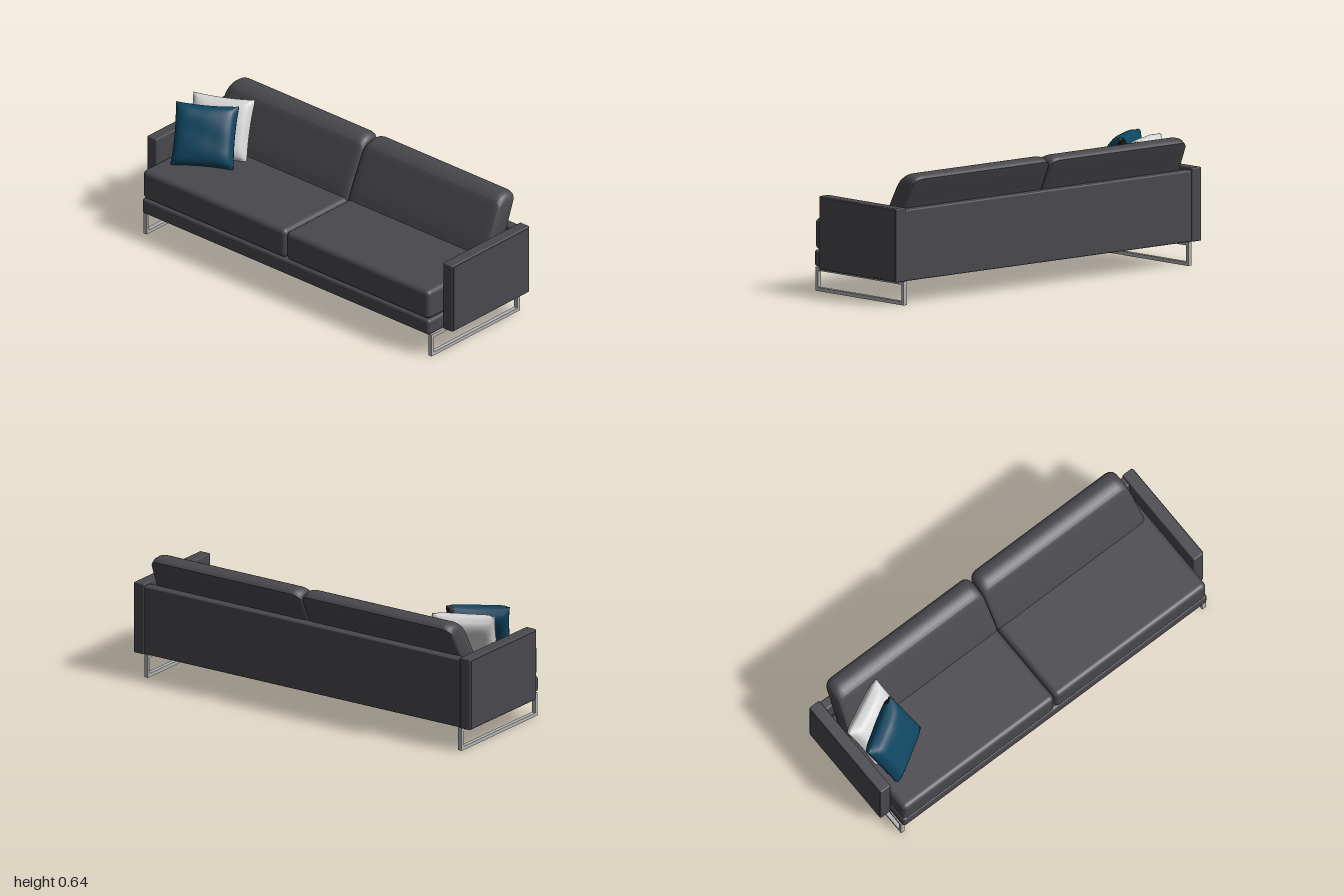
import * as THREE from 'three';
import { RoundedBoxGeometry } from 'three/addons/geometries/RoundedBoxGeometry.js';
import { mergeVertices, toCreasedNormals } from 'three/addons/utils/BufferGeometryUtils.js';

function material(name, color) {
  const m = new THREE.MeshStandardMaterial({ color });
  m.name = name;
  return m;
}

// Rounded block given by its min and max corners
function block(name, mat, [x0, y0, z0], [x1, y1, z1], radius) {
  const geo = new RoundedBoxGeometry(x1 - x0, y1 - y0, z1 - z0, 5, radius);
  const mesh = new THREE.Mesh(geo, mat);
  mesh.position.set((x0 + x1) / 2, (y0 + y1) / 2, (z0 + z1) / 2);
  mesh.name = name;
  return mesh;
}

// Leaning cushion: side profile swept along x, with rounded ends
function backCushionGeometry(side) {
  const profile = new THREE.Shape();
  profile.moveTo(0.10, 0.345);
  profile.splineThru([
    [0.125, 0.41], [0.158, 0.48], [0.212, 0.59], [0.235, 0.618],
    [0.265, 0.632], [0.295, 0.635], [0.325, 0.628], [0.342, 0.613],
  ].map(p => new THREE.Vector2(...p)));
  profile.splineThru([[0.325, 0.575], [0.28, 0.48], [0.235, 0.38], [0.22, 0.345]]
    .map(p => new THREE.Vector2(...p)));
  profile.closePath();
  const geo = new THREE.ExtrudeGeometry(profile, {
    depth: 2, steps: 28, bevelEnabled: false, curveSegments: 24,
  });
  geo.translate(0, 0, -1).rotateY(Math.PI / 2);
  const p = geo.attributes.position;
  const half = 0.453, r = 0.045;
  for (let i = 0; i < p.count; i++) {
    const u = Math.sin(p.getX(i) * Math.PI / 2);
    const t = Math.min(1, (1 - Math.abs(u)) * half / r);
    const s = 0.8 + 0.2 * Math.sqrt(1 - (1 - t) ** 2);
    const y = p.getY(i), z = p.getZ(i);
    const axis = -0.16 - (y - 0.345) * 0.46;
    const newY = 0.345 + (y - 0.345) * (0.3 + 0.7 * s);
    const taper = u * side > 0 ? 0.018 * Math.max(0, (newY - 0.36) / 0.27) * u : 0;
    p.setXYZ(i, side * 0.455 + u * half - taper, newY,
      axis + (z - axis) * s + (y - newY) * 0.46);
  }
  return toCreasedNormals(geo, 0.7);
}

// Square pillow: full in the middle, pinched at the rim, with slightly hollow edges
function pillowGeometry(size, thickness) {
  const box = new THREE.BoxGeometry(2, 2, 2, 24, 24, 4);
  box.deleteAttribute('normal');
  box.deleteAttribute('uv');
  const geo = mergeVertices(box);
  const p = geo.attributes.position;
  for (let i = 0; i < p.count; i++) {
    const u = p.getX(i), v = p.getY(i), w = p.getZ(i);
    const full = Math.sqrt((1 - u ** 4) * (1 - v ** 4));
    const wave = 1 + 0.04 * Math.sin(5 * u + 3 * v) * Math.sin(4 * v - 2 * u);
    p.setXYZ(i,
      u * size / 2 * (1 - 0.05 * (1 - v * v) * u * u),
      v * size / 2 * (1 - 0.05 * (1 - u * u) * v * v),
      w * thickness / 2 * (0.12 + 0.88 * full * wave));
  }
  geo.computeVertexNormals();
  return geo;
}

// Sort triangles into two material groups by a test on their centre
function splitFaces(geo, test) {
  const p = geo.attributes.position, lists = [[], []];
  for (let i = 0; i < geo.index.count; i += 3) {
    const tri = [0, 1, 2].map(k => geo.index.getX(i + k));
    const c = new THREE.Vector3();
    tri.forEach(k => c.add(new THREE.Vector3().fromBufferAttribute(p, k)));
    lists[test(c.divideScalar(3)) ? 1 : 0].push(...tri);
  }
  geo.setIndex([...lists[0], ...lists[1]]);
  geo.clearGroups();
  geo.addGroup(0, lists[0].length, 0);
  geo.addGroup(lists[0].length, lists[1].length, 1);
  return geo;
}

function pillow(name, geo, mat, position, turn, lean) {
  const mesh = new THREE.Mesh(geo, mat);
  mesh.name = name;
  mesh.position.set(...position);
  mesh.rotation.set(-lean, turn, 0, 'YXZ');
  return mesh;
}

// Rectangular sled leg with an open middle
function legGeometry() {
  const rect = (Type, x0, y0, x1, y1) => new Type([
    [x0, y0], [x1, y0], [x1, y1], [x0, y1],
  ].map(q => new THREE.Vector2(...q)));
  const shape = rect(THREE.Shape, -0.325, 0, 0.312, 0.118);
  shape.holes.push(rect(THREE.Path, -0.308, 0.018, 0.295, 0.1));
  const geo = new THREE.ExtrudeGeometry(shape, { depth: 0.022, bevelEnabled: false });
  return geo.translate(0, 0, -0.011).rotateY(Math.PI / 2);
}

export function createModel() {
  const sofa = new THREE.Group();
  sofa.name = 'sofa';
  const fabric = material('charcoal fabric', 0x49484d);
  const metal = material('brushed metal', 0xb2b2b2);
  const teal = material('teal cloth', 0x0f4560);
  const white = material('white cloth', 0xd6d6d6);
  const black = material('black cloth', 0x0c0c0c);

  // Body
  sofa.add(block('base', fabric, [-0.938, 0.118, -0.30], [0.938, 0.2, 0.343], 0.016));
  sofa.add(block('backPanel', fabric, [-0.94, 0.118, -0.317], [0.94, 0.468, -0.265], 0.008));

  // Parts on both sides
  for (const side of [-1, 1]) {
    const label = side > 0 ? 'left' : 'right';
    const span = (a, b) => [Math.min(side * a, side * b), Math.max(side * a, side * b)];

    const [a0, a1] = span(0.936, 0.997);
    sofa.add(block(label + 'Arm', fabric, [a0, 0.118, -0.322], [a1, 0.48, 0.238], 0.006));
    const [p0, p1] = span(0.99, 1.0);
    sofa.add(block(label + 'ArmPanel', fabric, [p0, 0.125, -0.315], [p1, 0.473, 0.231], 0.002));

    const [s0, s1] = span(0.002, 0.936);
    sofa.add(block(label + 'SeatCushion', fabric, [s0, 0.2, -0.265], [s1, 0.356, 0.343], 0.026));

    const back = new THREE.Mesh(backCushionGeometry(side), fabric);
    back.name = label + 'BackCushion';
    sofa.add(back);

    const leg = new THREE.Mesh(legGeometry(), metal);
    leg.name = label + 'Leg';
    leg.position.x = side * 0.93;
    sofa.add(leg);
  }

  // Loose pillows in the right corner, one with a dark band on its end
  const banded = splitFaces(pillowGeometry(0.31, 0.12), c => c.x > 0.115 && c.z < 0.004);
  sofa.add(pillow('tealPillow', banded, [teal, black], [-0.78, 0.487, 0.06], 0.55, 0.5));
  sofa.add(pillow('whitePillow', pillowGeometry(0.31, 0.11), white, [-0.79, 0.48, -0.062], 0.45, 0.5));

  return sofa;
}
